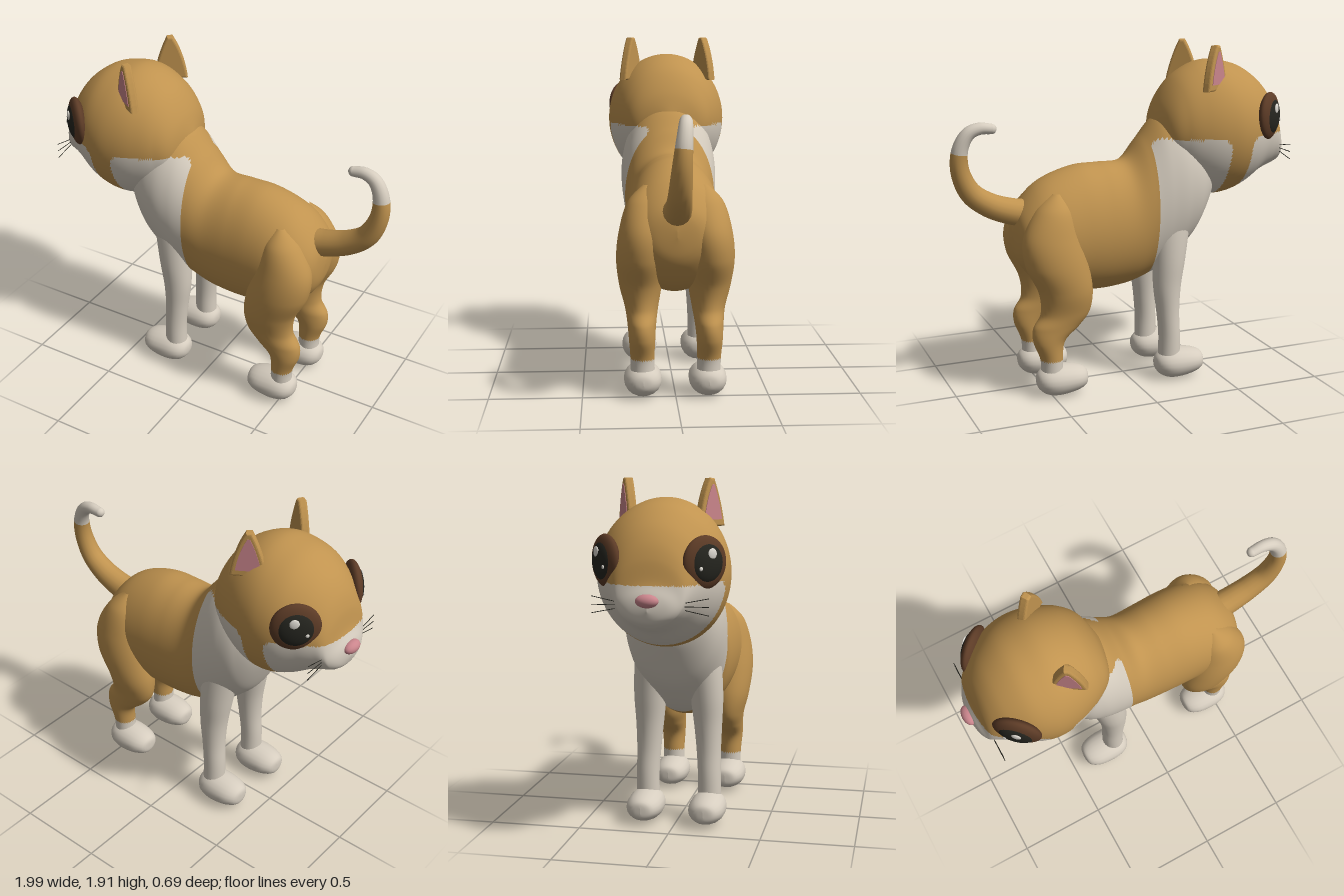
import * as THREE from 'three';

const mat = (name, color) => Object.assign(new THREE.MeshStandardMaterial({ color }), { name });

// Smooth interpolation through rows of numbers
function sampleRows(rows, t) {
  const f = t * (rows.length - 1);
  const i = Math.min(Math.floor(f), rows.length - 2), u = f - i;
  const at = (k) => rows[THREE.MathUtils.clamp(k, 0, rows.length - 1)];
  return rows[0].map((_, c) => {
    const p0 = at(i - 1)[c], p1 = at(i)[c], p2 = at(i + 1)[c], p3 = at(i + 2)[c];
    return p1 + 0.5 * u * (p2 - p0 + u * (2 * p0 - 5 * p1 + 4 * p2 - p3 + u * (3 * (p1 - p2) + p3 - p0)));
  });
}

// Oval slices. axis 'x': rows [x, yLow, yHigh, zCentre, zRadius], x ascending.
// axis 'y': rows [y, xLow, xHigh, zCentre, zRadius], y descending.
function loft(name, axis, rows, steps, sides, mats, isSecond = () => false) {
  const pos = [], lists = [[], []];
  for (let i = 0; i <= steps; i++) {
    const [t, lo, hi, zc, rz] = sampleRows(rows, i / steps);
    for (let j = 0; j < sides; j++) {
      const a = (j / sides) * Math.PI * 2;
      const p = (lo + hi) / 2 + (Math.max(hi - lo, 0) / 2) * Math.cos(a);
      const z = zc + Math.max(rz, 0) * Math.sin(a);
      if (axis === 'x') pos.push(t, p, z);
      else pos.push(p, t, z);
    }
  }
  const mid = (tri, k) => tri.reduce((s, v) => s + pos[v * 3 + k], 0) / 3;
  for (let i = 0; i < steps; i++) {
    for (let j = 0; j < sides; j++) {
      const a = i * sides + j, b = i * sides + ((j + 1) % sides), c = a + sides, d = b + sides;
      for (const tri of [[a, b, c], [b, d, c]]) {
        lists[isSecond(mid(tri, 0), mid(tri, 1), mid(tri, 2)) ? 1 : 0].push(...tri);
      }
    }
  }
  const g = new THREE.BufferGeometry();
  g.setAttribute('position', new THREE.Float32BufferAttribute(pos, 3));
  g.setIndex([...lists[0], ...lists[1]]);
  g.addGroup(0, lists[0].length, 0);
  g.addGroup(lists[0].length, lists[1].length, 1);
  g.computeVertexNormals();
  const m = new THREE.Mesh(g, mats);
  m.name = name;
  return m;
}

function ellipsoid(name, material, [x, y, z], [rx, ry, rz]) {
  const m = new THREE.Mesh(new THREE.SphereGeometry(1, 32, 20), material);
  m.name = name;
  m.position.set(x, y, z);
  m.scale.set(rx, ry, rz);
  return m;
}

export function createModel() {
  const cat = new THREE.Group();
  cat.name = 'cat';
  const tan = mat('tan fur', 0xc0934f), white = mat('white fur', 0xd6cdbf);
  const pink = mat('pink skin', 0xca858c), brown = mat('brown iris', 0x5c3b26);
  const black = mat('dark pupil', 0x25251f), shine = mat('eye shine', 0xdcd8d0);
  const fur = [tan, white];

  // White bib with rounded upper corners, shared by head and torso
  const bib = (x, y) => {
    if (x < -0.52 || x > -0.12 || y > 1.4) return false;
    const dx = Math.max(Math.abs(x + 0.32) - 0.14, 0), dy = Math.max(y - 1.34, 0);
    return Math.hypot(dx, dy) < 0.06 || y < 1.34;
  };
  const muzzle = (x, y) => {
    const dx = Math.max(x + 0.70, 0), dy = Math.max(y - 1.35, 0);
    return x < -0.65 && y < 1.4 && Math.hypot(dx, dy) < 0.05;
  };

  // Torso and neck
  cat.add(loft('torso', 'x', [
    [-0.53, 1.10, 1.26, 0, 0], [-0.49, 1.0, 1.4, 0, 0.17], [-0.4, 0.82, 1.5, 0, 0.25],
    [-0.3, 0.71, 1.54, 0, 0.275], [-0.2, 0.63, 1.5, 0, 0.27], [-0.1, 0.585, 1.385, 0, 0.255],
    [0, 0.555, 1.275, 0, 0.25], [0.14, 0.54, 1.265, 0, 0.255], [0.28, 0.545, 1.26, 0, 0.26],
    [0.42, 0.56, 1.22, 0, 0.26], [0.52, 0.61, 1.165, 0, 0.24], [0.6, 0.7, 1.08, 0, 0.19],
    [0.64, 0.78, 1.01, 0, 0.12], [0.655, 0.89, 0.92, 0, 0],
  ], 130, 96, fur, bib));

  // Head
  cat.add(loft('head', 'x', [
    [-0.972, 1.28, 1.31, 0, 0], [-0.955, 1.225, 1.36, 0, 0.1], [-0.93, 1.2, 1.42, 0, 0.155],
    [-0.905, 1.185, 1.53, 0, 0.185], [-0.865, 1.17, 1.62, 0, 0.215], [-0.8, 1.145, 1.7, 0, 0.262],
    [-0.7, 1.085, 1.77, 0, 0.32], [-0.6, 1.047, 1.8, 0, 0.345], [-0.5, 1.04, 1.81, 0, 0.338],
    [-0.4, 1.075, 1.78, 0, 0.31], [-0.3, 1.15, 1.71, 0, 0.26], [-0.22, 1.25, 1.59, 0, 0.18],
    [-0.17, 1.38, 1.44, 0, 0],
  ], 130, 96, fur, (x, y) => bib(x, y) || muzzle(x, y)));

  cat.add(ellipsoid('nose', pink, [-0.965, 1.33, 0], [0.035, 0.034, 0.058]));

  // Tail, tapered, with a white tip
  const curve = new THREE.CatmullRomCurve3([
    [0.56, 1.01, 0], [0.66, 1.03, 0], [0.78, 1.075, 0], [0.88, 1.15, 0], [0.935, 1.27, -0.005],
    [0.935, 1.39, -0.015], [0.89, 1.475, -0.025], [0.83, 1.5, -0.03], [0.765, 1.495, -0.03],
  ].map((p) => new THREE.Vector3(...p)));
  const rings = 64, sides = 16, tipRing = 45;
  const tube = new THREE.TubeGeometry(curve, rings, 1, sides);
  const tp = tube.attributes.position, v = new THREE.Vector3();
  for (let i = 0; i <= rings; i++) {
    const t = i / rings, c = curve.getPointAt(t), r = 0.078 - 0.05 * Math.pow(t, 1.2);
    for (let j = 0; j <= sides; j++) {
      const k = i * (sides + 1) + j;
      v.fromBufferAttribute(tp, k).sub(c).multiplyScalar(r).add(c);
      tp.setXYZ(k, v.x, v.y, v.z);
    }
  }
  tube.addGroup(0, tipRing * sides * 6, 0);
  tube.addGroup(tipRing * sides * 6, (rings - tipRing) * sides * 6, 1);
  const tail = new THREE.Mesh(tube, fur);
  tail.name = 'tail';
  cat.add(tail, ellipsoid('tailTip', white, [0.765, 1.495, -0.03], [0.028, 0.028, 0.028]));

  // Ear outline
  const triangle = (w, h) => {
    const s = new THREE.Shape();
    s.moveTo(-w, 0);
    s.lineTo(w, 0);
    s.quadraticCurveTo(w * 0.7, h * 0.55, w * 0.1, h);
    s.lineTo(-w * 0.1, h);
    s.quadraticCurveTo(-w * 0.75, h * 0.6, -w, 0);
    return s;
  };
  const earShell = new THREE.ExtrudeGeometry(triangle(0.082, 0.225), {
    depth: 0.025, bevelSize: 0.012, bevelThickness: 0.012, bevelSegments: 3, curveSegments: 8,
  });
  const earInner = new THREE.ExtrudeGeometry(triangle(0.066, 0.18), { depth: 0.004, bevelEnabled: false });
  const whiskerGeo = new THREE.CylinderGeometry(0.002, 0.002, 0.12, 5);

  for (const s of [1, -1]) {
    const side = s > 0 ? 'Left' : 'Right';
    const turn = (angle) => (s > 0 ? angle : Math.PI - angle);

    // Ears
    const ear = new THREE.Group();
    ear.name = 'ear' + side;
    const shell = new THREE.Mesh(earShell, tan), inner = new THREE.Mesh(earInner, pink);
    shell.name = 'earShell';
    inner.name = 'earInner';
    inner.position.set(0, 0.025, 0.036);
    ear.add(shell, inner);
    ear.position.set(-0.455, 1.67, s * 0.205);
    ear.rotation.y = turn(-0.56);
    cat.add(ear);

    // Eyes
    const eye = new THREE.Group();
    eye.name = 'eye' + side;
    eye.add(
      ellipsoid('iris', brown, [0, 0, 0], [0.13, 0.134, 0.045]),
      ellipsoid('pupil', black, [0, 0, 0.014], [0.1, 0.104, 0.04]),
      ellipsoid('shine', shine, [0.012 * s, 0.045, 0.048], [0.026, 0.028, 0.008]),
      ellipsoid('smallShine', shine, [-0.055 * s, -0.025, 0.046], [0.01, 0.011, 0.006]),
    );
    eye.position.set(-0.787, 1.505, s * 0.25);
    eye.rotation.y = turn(-0.74);
    cat.add(eye);

    // Whiskers
    for (const k of [-1, 0, 1]) {
      const w = new THREE.Mesh(whiskerGeo, black);
      w.name = 'whisker' + side;
      w.position.set(-0.905, 1.3 + k * 0.03, s * 0.235);
      w.rotation.x = s * (Math.PI / 2 - k * 0.2);
      cat.add(w);
    }

    // Front leg
    cat.add(loft('frontLeg' + side, 'y', [
      [1.0, -0.36, -0.125, s * 0.14, 0.09], [0.85, -0.335, -0.122, s * 0.15, 0.095],
      [0.7, -0.31, -0.122, s * 0.16, 0.09], [0.55, -0.285, -0.125, s * 0.165, 0.078],
      [0.4, -0.275, -0.143, s * 0.17, 0.068], [0.25, -0.28, -0.155, s * 0.175, 0.064],
      [0.08, -0.28, -0.15, s * 0.175, 0.066],
    ], 36, 24, [white, white]));

    // Hind leg with white sock
    cat.add(loft('hindLeg' + side, 'y', [
      [1.14, 0.42, 0.47, s * 0.14, 0.03], [1.05, 0.36, 0.57, s * 0.155, 0.1],
      [0.9, 0.32, 0.645, s * 0.175, 0.125], [0.75, 0.285, 0.635, s * 0.185, 0.13],
      [0.6, 0.26, 0.565, s * 0.185, 0.115], [0.48, 0.275, 0.555, s * 0.18, 0.09],
      [0.4, 0.335, 0.6, s * 0.18, 0.077], [0.32, 0.42, 0.6, s * 0.18, 0.07],
      [0.21, 0.435, 0.56, s * 0.178, 0.064], [0.08, 0.43, 0.56, s * 0.175, 0.066],
    ], 92, 32, fur, (x, y) => y < 0.212));

    // Paws
    for (const [name, dx] of [['frontPaw', 0], ['hindPaw', 0.715]]) {
      cat.add(loft(name + side, 'x', [
        [-0.422, 0.075, 0.105, 0, 0], [-0.41, 0.04, 0.14, 0, 0.06], [-0.35, 0.015, 0.165, 0, 0.095],
        [-0.25, 0.0, 0.178, 0, 0.102], [-0.18, 0.015, 0.165, 0, 0.088], [-0.14, 0.05, 0.135, 0, 0.05],
        [-0.13, 0.085, 0.1, 0, 0],
      ].map(([x, lo, hi, z, r]) => [x + dx, lo, hi, s * 0.175, r]), 24, 20, [white, white]));
    }
  }
  return cat;
}
